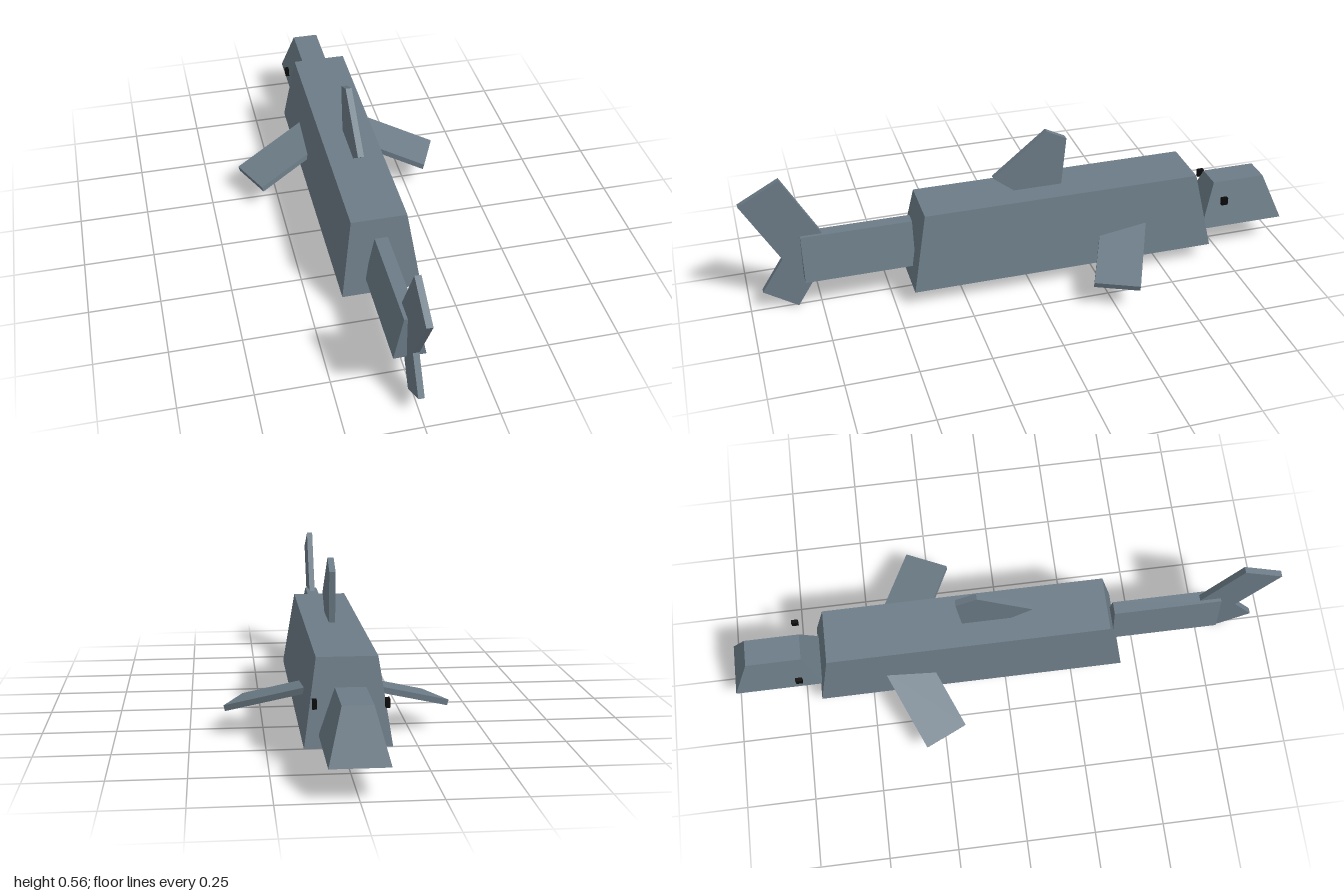
import * as THREE from 'three';

const skin = new THREE.MeshStandardMaterial({ color: 0x6c7c87 });
skin.name = 'slate skin';
const pale = new THREE.MeshStandardMaterial({ color: 0xd3cac0 });
pale.name = 'pale belly';
const black = new THREE.MeshStandardMaterial({ color: 0x0a0a0a });
black.name = 'eye black';

// Moves the corners of a unit box by a rule on their signs
function cornerBox(rule) {
  const box = new THREE.BoxGeometry(2, 2, 2);
  const p = box.attributes.position;
  for (let i = 0; i < p.count; i++) p.setXYZ(i, ...rule(p.getX(i), p.getY(i), p.getZ(i)));
  const geometry = box.toNonIndexed();
  geometry.computeVertexNormals();
  return geometry;
}

// Tapered block; each end is [y, half width, back z, front z]
function taper(bottom, top) {
  return cornerBox((sx, sy, sz) => {
    const [y, w, zMin, zMax] = sy > 0 ? top : bottom;
    return [sx * w, y, sz > 0 ? zMax : zMin];
  });
}

// Upright plate from (z, y) outline points, centred on x = 0
function plate(points, thickness) {
  const shape = new THREE.Shape(points.map(([z, y]) => new THREE.Vector2(z, y)));
  const geometry = new THREE.ExtrudeGeometry(shape, { depth: thickness, bevelEnabled: false });
  return geometry.translate(0, 0, -thickness / 2).rotateY(-Math.PI / 2);
}

export function createModel() {
  const group = new THREE.Group();
  const add = (name, geometry, material = skin) => {
    const mesh = new THREE.Mesh(geometry, material);
    mesh.name = name;
    group.add(mesh);
    return mesh;
  };

  // Trunk, head (towards -z) and tail stem
  add('body', taper([0.065, 0.14, -0.69, 0.435], [0.345, 0.098, -0.635, 0.38]));
  add('head', taper([0.105, 0.093, -1, -0.675], [0.273, 0.048, -0.932, -0.733]));
  add('tailStem', taper([0.122, 0.055, 0.412, 0.805], [0.288, 0.023, 0.412, 0.805]));

  // Thin pale plate under the body
  add('belly', new THREE.BoxGeometry(0.2, 0.008, 0.96).translate(0, 0.061, -0.177), pale);

  // Vertical fins
  add('dorsalFin', plate([[0.11, 0.405], [-0.086, 0.565], [-0.16, 0.527], [-0.142, 0.33], [0.015, 0.33]], 0.022));
  add('upperTailFin', plate([[1, 0.438], [0.855, 0.517], [0.705, 0.245], [0.85, 0.165]], 0.022));
  add('lowerTailFin', plate([[0.952, 0.081], [0.833, 0.002], [0.735, 0.158], [0.853, 0.235]], 0.021));

  // Sloping side fins and eyes, mirrored
  for (const side of [-1, 1]) {
    const label = side > 0 ? 'left' : 'right';
    add(label + 'SideFin', cornerBox((sx, sy, sz) => {
      const [tipX, tipZ] = sz > 0 ? [0.317, -0.172] : [0.385, -0.32];
      const k = sx === side ? 0 : 1.1;
      const low = sy > 0 ? 0 : 1;
      return [side * (tipX - 0.25 * k - 0.005 * low), 0.105 + 0.083 * k - 0.02 * low, tipZ - 0.11 * k];
    }));
    const eye = add(label + 'Eye', new THREE.BoxGeometry(0.014, 0.028, 0.024), black);
    eye.position.set(side * 0.112, 0.227, -0.75);
  }
  return group;
}
